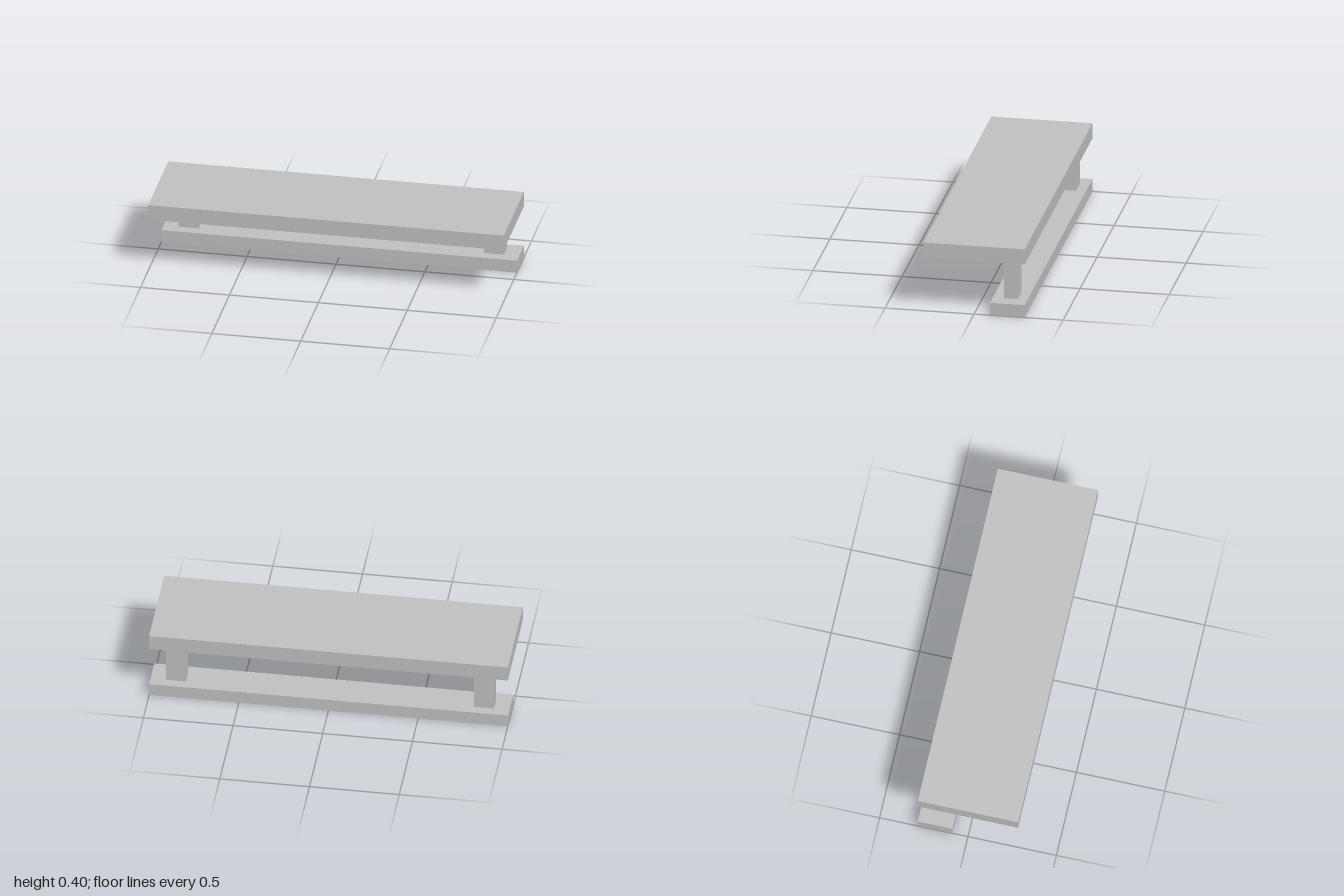
import * as THREE from 'three';

export function createModel() {
  const model = new THREE.Group();
  const grey = new THREE.MeshStandardMaterial({ color: 0xc0c0c0 });
  grey.name = 'light grey';

  // Box given by its extents along each axis
  function block(name, [x0, x1], [y0, y1], [z0, z1]) {
    const mesh = new THREE.Mesh(new THREE.BoxGeometry(x1 - x0, y1 - y0, z1 - z0), grey);
    mesh.name = name;
    mesh.position.set((x0 + x1) / 2, (y0 + y1) / 2, (z0 + z1) / 2);
    model.add(mesh);
  }

  // Wide upper slab and narrow lower rail, flush at the back
  block('topSlab', [-1, 1], [0.313, 0.402], [-0.284, 0.284]);
  block('baseRail', [-1, 1], [0, 0.073], [-0.284, -0.089]);

  // Posts joining rail and slab near each end
  block('leftPost', [0.803, 0.915], [0.073, 0.313], [-0.23, -0.151]);
  block('rightPost', [-0.915, -0.803], [0.073, 0.313], [-0.23, -0.151]);

  return model;
}
